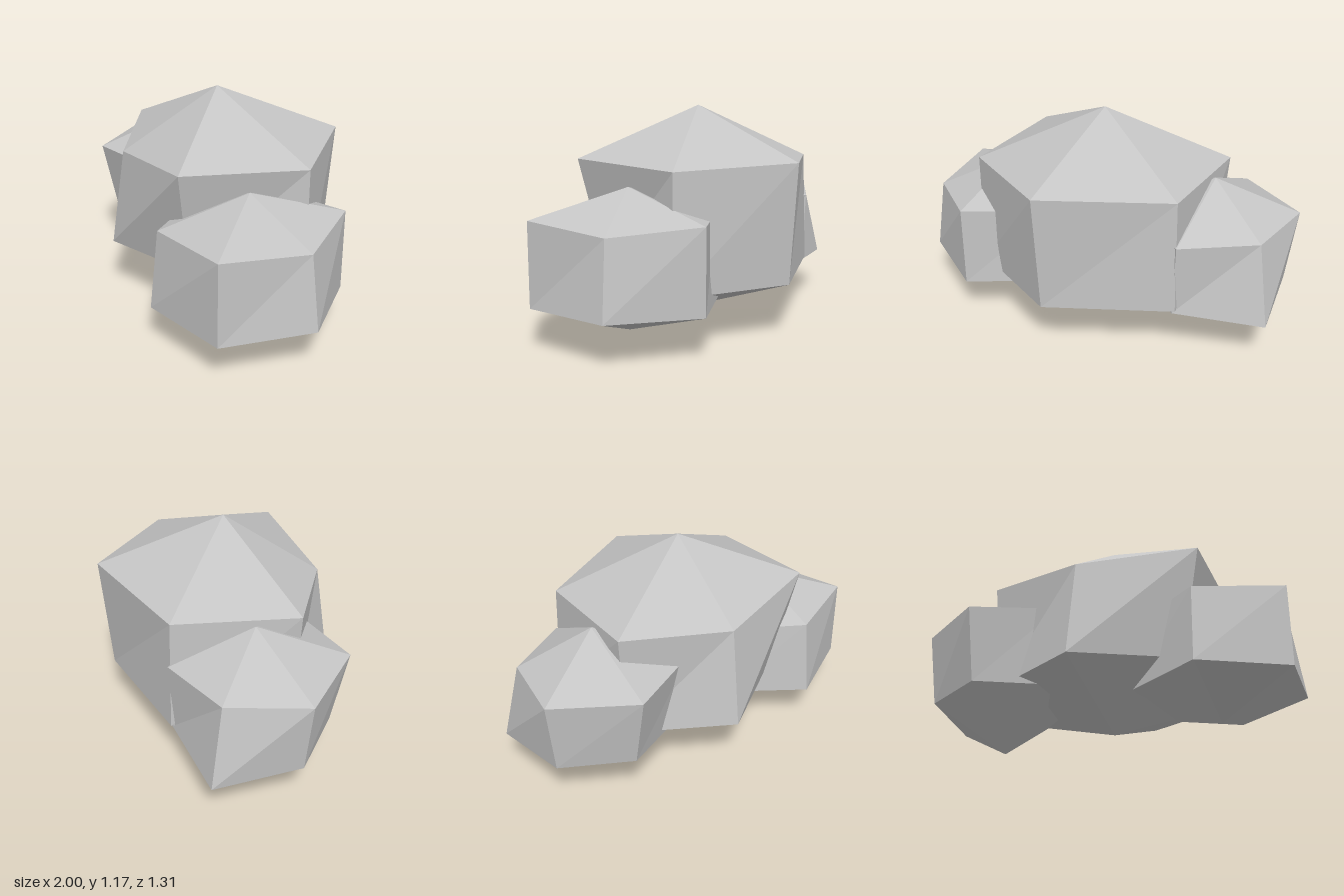
import * as THREE from 'three';

// A faceted boulder: top point, upper ring, lower ring, bottom point.
// Rings run from +x round towards +z.
function boulder(name, material, top, upper, lower, bottom) {
  const positions = [];
  const tri = (...corners) => corners.forEach((p) => positions.push(...p));
  const n = upper.length;
  for (let i = 0; i < n; i++) {
    const j = (i + 1) % n;
    tri(top, upper[j], upper[i]);
    tri(upper[i], upper[j], lower[j]);
    tri(upper[i], lower[j], lower[i]);
    tri(lower[i], lower[j], bottom);
  }
  const geometry = new THREE.BufferGeometry();
  geometry.setAttribute('position', new THREE.Float32BufferAttribute(positions, 3));
  geometry.computeVertexNormals();
  const mesh = new THREE.Mesh(geometry, material);
  mesh.name = name;
  return mesh;
}

export function createModel() {
  const group = new THREE.Group();
  group.name = 'rockCluster';
  const stone = new THREE.MeshStandardMaterial({ color: 0xc4c4c4, flatShading: true });
  stone.name = 'stoneGrey';

  // Tall rock in the middle
  group.add(boulder('middleRock', stone, [0.015, 1.17, -0.03],
    [[0.685, 0.885, -0.03], [0.365, 0.905, 0.535], [-0.25, 0.835, 0.4],
      [-0.65, 0.885, -0.03], [-0.33, 0.88, -0.578], [0.365, 0.905, -0.593]],
    [[0.685, 0.275, -0.03], [0.295, 0.335, 0.415], [-0.295, 0.31, 0.46],
      [-0.6, 0.31, -0.03], [-0.335, 0.285, -0.597], [0.34, 0.285, -0.555]],
    [0.015, 0.065, -0.03]));

  // Small rock at the front, on the +x side
  group.add(boulder('frontRock', stone, [0.53, 0.79, 0.225],
    [[0.945, 0.615, 0.225], [0.775, 0.65, 0.655], [0.3, 0.63, 0.615],
      [0.1, 0.61, 0.225], [0.3, 0.63, -0.17], [0.775, 0.65, -0.205]],
    [[1, 0.23, 0.225], [0.775, 0.22, 0.655], [0.285, 0.22, 0.655],
      [0.06, 0.22, 0.225], [0.285, 0.22, -0.2], [0.775, 0.22, -0.205]],
    [0.53, 0.065, 0.225]));

  // Small rock at the back, on the -x side
  group.add(boulder('backRock', stone, [-0.55, 0.86, -0.235],
    [[-0.12, 0.66, -0.235], [-0.32, 0.68, 0.19], [-0.785, 0.67, 0.17],
      [-1, 0.66, -0.235], [-0.745, 0.65, -0.565], [-0.33, 0.645, -0.598]],
    [[-0.19, 0.27, -0.235], [-0.31, 0.27, 0.13], [-0.745, 0.28, 0.1],
      [-0.95, 0.27, -0.235], [-0.785, 0.23, -0.655], [-0.32, 0.265, -0.58]],
    [-0.55, 0, -0.235]));

  return group;
}
